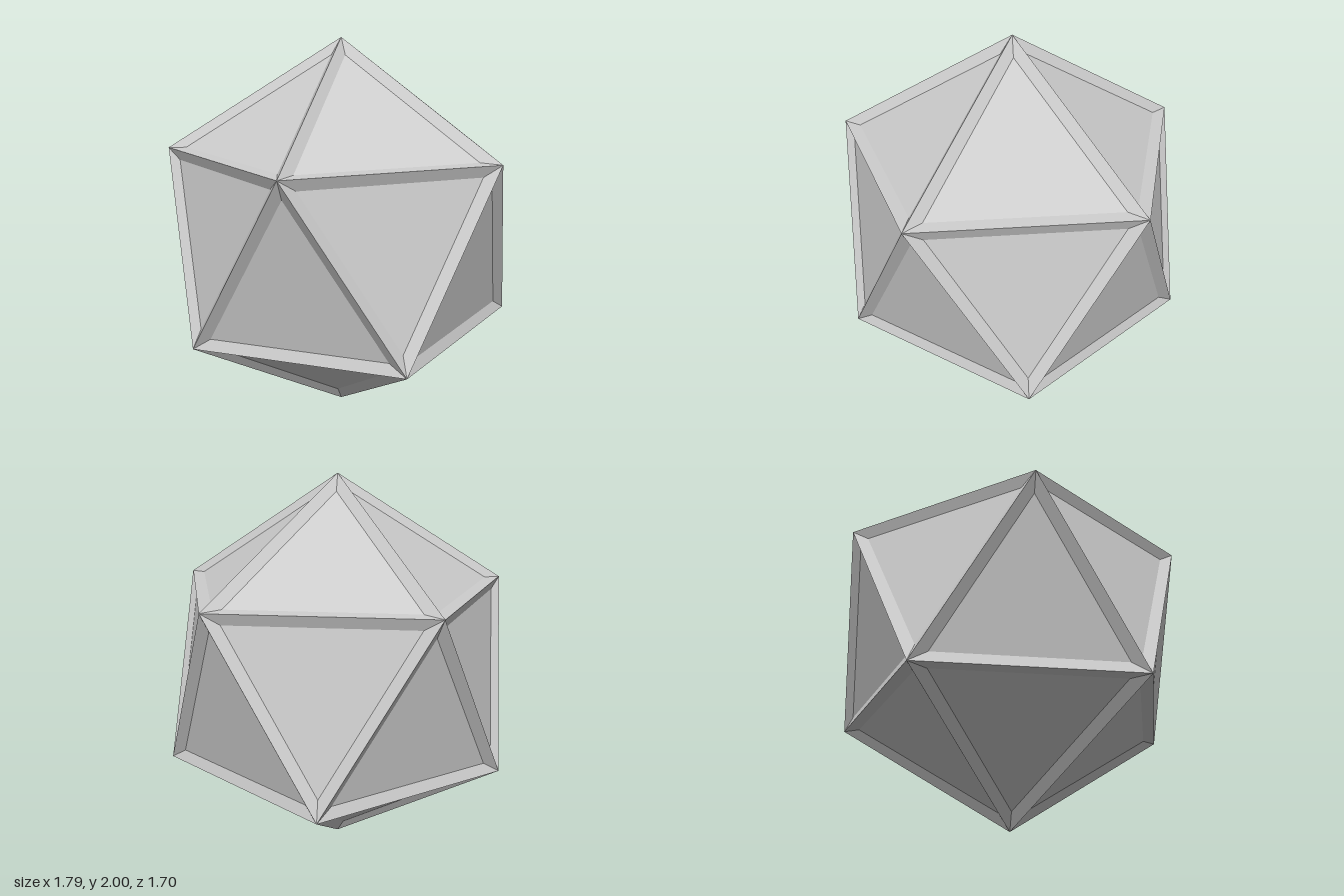
import * as THREE from 'three';

const INSET = 0.05;   // rim width measured in the face plane
const DEPTH = 0.03;   // how far each panel is sunk

function meshFrom(points, name) {
  const geometry = new THREE.BufferGeometry().setFromPoints(points);
  geometry.computeVertexNormals();
  const material = new THREE.MeshStandardMaterial({ color: 0xcccccc, flatShading: true });
  const mesh = new THREE.Mesh(geometry, material);
  mesh.name = name;
  return mesh;
}

export function createModel() {
  // Icosahedron corners: two poles and two staggered rings of five
  const h = 1 / Math.sqrt(5), r = 2 * h;
  const top = new THREE.Vector3(0, 1, 0);
  const bottom = new THREE.Vector3(0, -1, 0);
  const ring = (y, start) => Array.from({ length: 5 }, (_, i) => {
    const a = start + i * Math.PI * 0.4;
    return new THREE.Vector3(r * Math.cos(a), y, r * Math.sin(a));
  });
  const upper = ring(h, 0), lower = ring(-h, Math.PI / 5);

  // Five cap, ten belt and five base triangles
  const faces = [];
  for (let i = 0; i < 5; i++) {
    const j = (i + 1) % 5;
    faces.push(
      [top, upper[j], upper[i]],
      [upper[i], upper[j], lower[i]],
      [lower[i], upper[j], lower[j]],
      [bottom, lower[i], lower[j]]
    );
  }

  const rims = [], panels = [];
  for (const [a, b, c] of faces) {
    const centre = new THREE.Vector3().add(a).add(b).add(c).divideScalar(3);
    const normal = centre.clone().normalize();
    const inradius = a.clone().add(b).multiplyScalar(0.5).distanceTo(centre);

    // Shrink towards the centre, then push inwards
    const inner = [a, b, c].map(p =>
      p.clone().lerp(centre, INSET / inradius).addScaledVector(normal, -DEPTH));
    panels.push(...inner);

    // Sloping rim between the outer edge and the sunken panel
    const outer = [a, b, c];
    for (let k = 0; k < 3; k++) {
      const n = (k + 1) % 3;
      rims.push(outer[k], outer[n], inner[n], outer[k], inner[n], inner[k]);
    }
  }

  const group = new THREE.Group();
  group.name = 'panelledIcosahedron';
  group.add(meshFrom(rims, 'bevelledRims'), meshFrom(panels, 'sunkenPanels'));
  group.children.forEach(m => m.geometry.translate(0, 1, 0));
  return group;
}
